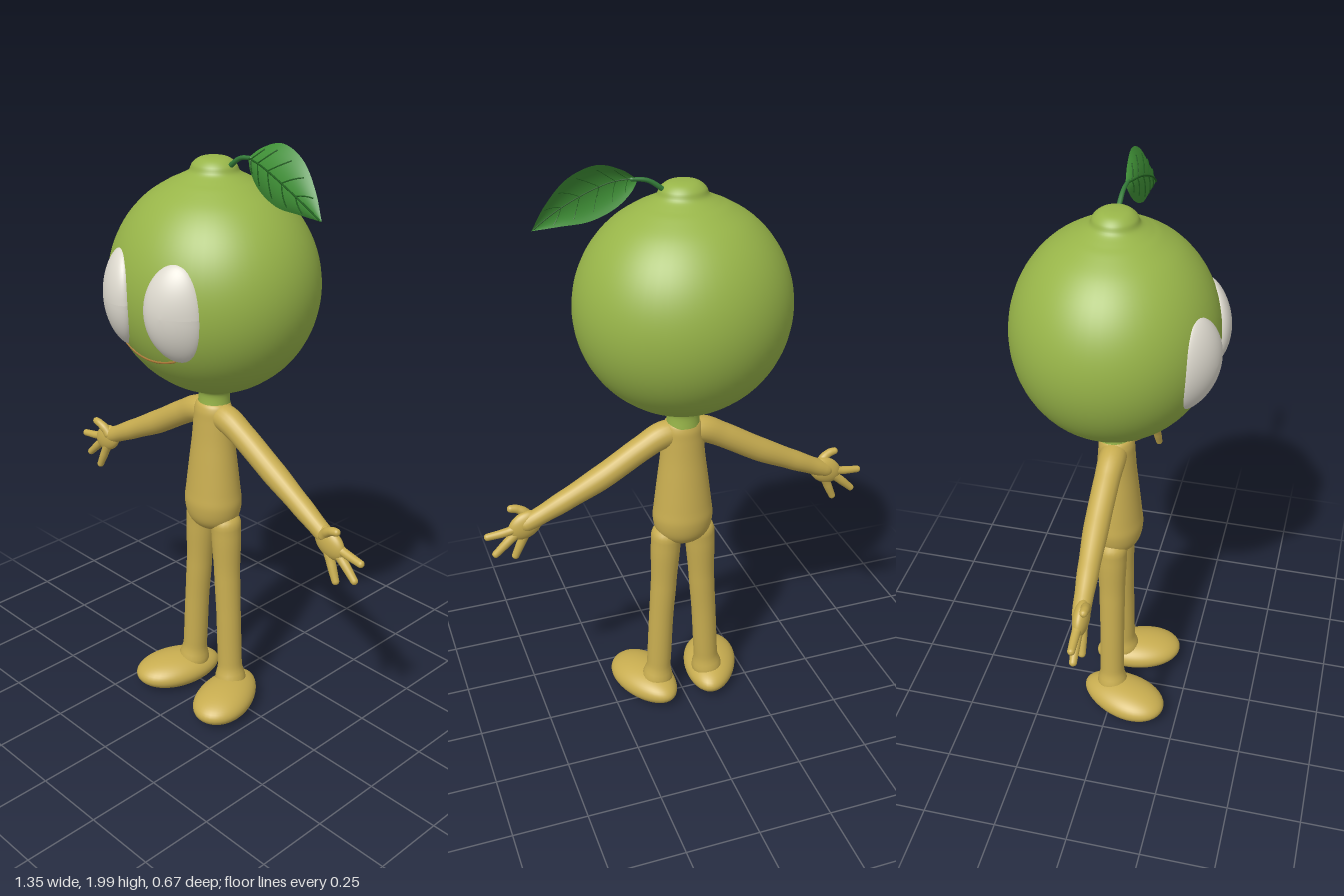
import * as THREE from 'three';
import { mergeVertices } from 'three/addons/utils/BufferGeometryUtils.js';

const paint = (name, color, side = THREE.FrontSide) => {
  const m = new THREE.MeshStandardMaterial({ color, side });
  m.name = name;
  return m;
};
const V = (x, y, z = 0) => new THREE.Vector3(x, y, z);

// Smooth normals without a seam
function smooth(g) {
  g.deleteAttribute('uv');
  g.deleteAttribute('normal');
  const out = mergeVertices(g, 1e-5);
  out.computeVertexNormals();
  return out;
}

// Round-ended limb through points [x, y, z, radius]
function limbGeometry(pts, steps = 48, sides = 20) {
  const curve = new THREE.CatmullRomCurve3(pts.map(p => V(p[0], p[1], p[2])));
  const length = curve.getLength();
  const g = new THREE.TubeGeometry(curve, steps, 1, sides);
  const pos = g.attributes.position, v = V(0, 0);
  for (let i = 0; i <= steps; i++) {
    const u = i / steps, c = curve.getPointAt(u);
    const t = curve.getUtoTmapping(u) * (pts.length - 1);
    const k = Math.min(Math.floor(t), pts.length - 2);
    let r = THREE.MathUtils.lerp(pts[k][3], pts[k + 1][3], THREE.MathUtils.smoothstep(t - k, 0, 1));
    const d = Math.min(u, 1 - u) * length;
    if (d < r) r *= Math.sqrt(Math.max(1 - (1 - d / r) ** 2, 1e-4));
    for (let j = 0; j <= sides; j++) {
      const n = i * (sides + 1) + j;
      v.fromBufferAttribute(pos, n).sub(c).multiplyScalar(r).add(c);
      pos.setXYZ(n, v.x, v.y, v.z);
    }
  }
  return smooth(g);
}

// Lathe through a smoothed profile, squashed in depth
function latheGeometry(profile, depth, z) {
  const curve = new THREE.SplineCurve(profile.map(p => new THREE.Vector2(p[0], p[1])));
  const pts = curve.getPoints(profile.length * 5);
  pts.forEach(p => { p.x = Math.max(p.x, 0); });
  return new THREE.LatheGeometry(pts, 56).scale(1, 1, depth).translate(0, 0, z);
}

// Indexed grid from a rule (u, v) -> point
function gridGeometry(nu, nv, rule) {
  const pos = [], idx = [];
  for (let i = 0; i <= nu; i++) for (let j = 0; j <= nv; j++) pos.push(...rule(i / nu, j / nv).toArray());
  for (let i = 0; i < nu; i++) for (let j = 0; j < nv; j++) {
    const a = i * (nv + 1) + j, b = a + nv + 1;
    idx.push(a, b, a + 1, b, b + 1, a + 1);
  }
  const g = new THREE.BufferGeometry();
  g.setAttribute('position', new THREE.Float32BufferAttribute(pos, 3));
  g.setIndex(idx);
  g.computeVertexNormals();
  return g;
}

// Front surface of the round head
const HEAD = { y: 1.53, rx: 0.345, ry: 0.35, depth: 0.94, z: -0.01 };
const headZ = (x, y) => HEAD.z + HEAD.depth * HEAD.rx *
  Math.sqrt(Math.max(0, 1 - (x / HEAD.rx) ** 2 - ((y - HEAD.y) / HEAD.ry) ** 2));

export function createModel() {
  const model = new THREE.Group();
  const lime = paint('lime peel', 0x98b549), tan = paint('tan body', 0xc8ad50);
  const white = paint('eye white', 0xdedacf), lip = paint('mouth line', 0xab7a38);
  const leafGreen = paint('leaf green', 0x3f9036, THREE.DoubleSide);
  const veinGreen = paint('vein green', 0x20601f), stemGreen = paint('stem green', 0x337a38);
  const add = (name, geometry, material, parent = model) => {
    const m = new THREE.Mesh(geometry, material);
    m.name = name;
    parent.add(m);
    return m;
  };

  // Head: flared neck, round fruit, knob on top
  const profile = [[0.055, 1.12], [0.054, 1.165], [0.075, 1.184], [0.13, 1.204]];
  for (let a = -58; a <= 64; a += 12.2) {
    const r = THREE.MathUtils.degToRad(a);
    profile.push([HEAD.rx * Math.cos(r), HEAD.y + HEAD.ry * Math.sin(r)]);
  }
  profile.push([0.115, 1.862], [0.082, 1.88], [0.07, 1.902], [0.05, 1.918], [0.025, 1.924], [0, 1.925]);
  add('head', latheGeometry(profile, HEAD.depth, HEAD.z), lime);

  // Bulging eyes that follow the head
  for (const s of [-1, 1]) {
    add(s > 0 ? 'leftEye' : 'rightEye', gridGeometry(14, 48, (u, v) => {
      const r = Math.sin(u * Math.PI / 2), a = v * Math.PI * 2;
      const x = s * 0.123 + 0.085 * r * Math.cos(a), y = 1.517 + 0.153 * r * Math.sin(a);
      return V(x, y, headZ(x, y) - 0.004 + 0.038 * Math.cos(u * Math.PI / 2));
    }), white);
  }

  // Smile
  const smile = [];
  for (let i = -6; i <= 6; i++) {
    const x = i * 0.019, y = 1.343 + 1.8 * x * x;
    smile.push(V(x, y, headZ(x, y)));
  }
  add('mouth', new THREE.TubeGeometry(new THREE.CatmullRomCurve3(smile), 32, 0.004, 6), lip);

  // Torso
  add('torso', latheGeometry([[0, 0.665], [0.055, 0.678], [0.09, 0.712], [0.103, 0.765], [0.098, 0.82],
    [0.086, 0.92], [0.076, 1.0], [0.07, 1.07], [0.066, 1.11], [0.05, 1.133], [0, 1.14]], 0.87, -0.006), tan);

  for (const s of [-1, 1]) {
    const side = s > 0 ? 'left' : 'right';
    const limb = (name, pts, parent) =>
      add(side + name, limbGeometry(pts.map(([x, y, z, r]) => [s * x, y, z, r])), tan, parent);

    // Arm and hand
    limb('Arm', [[0.0, 1.092, -0.005, 0.042], [0.07, 1.083, -0.005, 0.045], [0.14, 1.048, -0.006, 0.042],
      [0.27, 0.97, -0.006, 0.041], [0.4, 0.9, 0, 0.035], [0.49, 0.853, 0.006, 0.03], [0.56, 0.818, 0.01, 0.026]]);
    const hand = new THREE.Group();
    hand.name = side + 'Hand';
    model.add(hand);
    const palm = add(side + 'Palm', new THREE.SphereGeometry(1, 28, 20), tan, hand);
    palm.scale.set(0.062, 0.046, 0.026);
    palm.position.set(s * 0.537, 0.825, 0.012);
    palm.rotation.z = -s * 0.55;
    limb('Thumb', [[0.51, 0.835, 0.018, 0.02], [0.535, 0.866, 0.026, 0.016], [0.558, 0.88, 0.03, 0.014],
      [0.59, 0.886, 0.03, 0.012]], hand);
    limb('UpperFinger', [[0.55, 0.825, 0.01, 0.018], [0.6, 0.812, 0.01, 0.014], [0.675, 0.802, 0.014, 0.012]], hand);
    limb('MiddleFinger', [[0.55, 0.815, 0.01, 0.018], [0.595, 0.777, 0.01, 0.015], [0.65, 0.725, 0.012, 0.012]], hand);
    limb('LowerFinger', [[0.53, 0.81, 0.014, 0.018], [0.552, 0.76, 0.018, 0.015], [0.58, 0.697, 0.022, 0.012]], hand);

    // Leg
    limb('Leg', [[0.056, 0.745, -0.008, 0.056], [0.062, 0.66, -0.008, 0.051], [0.07, 0.5, -0.006, 0.045],
      [0.08, 0.35, -0.004, 0.043], [0.09, 0.15, -0.002, 0.043], [0.095, 0.09, 0.0, 0.055], [0.098, 0.03, 0.002, 0.05]]);

    // Foot: egg shape with a flat sole, narrower at the heel, toes turned out
    const foot = new THREE.SphereGeometry(1, 40, 28);
    const p = foot.attributes.position;
    for (let i = 0; i < p.count; i++) {
      const z = p.getZ(i), y = p.getY(i);
      p.setXYZ(i, p.getX(i) * 0.095 * (1 + 0.13 * z), Math.max(0.052 + y * 0.058, 0.003), z * 0.158);
    }
    const mesh = add(side + 'Foot', smooth(foot), tan);
    mesh.rotation.y = s * 0.32;
    mesh.position.set(s * 0.126, 0, 0.05);
  }

  // Leaf: surface between an upper and a lower edge, bowed to the front
  const edge = pts => new THREE.CatmullRomCurve3(pts.map(q => V(q[0], q[1])));
  const upper = edge([[0.14, 1.94], [0.19, 1.975], [0.265, 1.997], [0.35, 1.965], [0.415, 1.89], [0.456, 1.812]]);
  const lower = edge([[0.14, 1.94], [0.155, 1.905], [0.2, 1.858], [0.28, 1.822], [0.37, 1.816], [0.456, 1.812]]);
  const leafPoint = (u, v, lift = 0) => {
    const q = lower.getPoint(u).lerp(upper.getPoint(u), v);
    q.z = (1.9 - q.y) * 0.2 + 0.025 * Math.sin(Math.PI * u) * (1 - (2 * v - 1) ** 2) - 0.005 + lift;
    return q;
  };
  const leaf = new THREE.Group();
  leaf.name = 'leaf';
  model.add(leaf);
  add('leafBlade', gridGeometry(32, 14, leafPoint), leafGreen, leaf);

  // Leaf veins
  const vein = (name, fn, r) => {
    const pts = Array.from({ length: 9 }, (_, i) => fn(i / 8));
    add(name, new THREE.TubeGeometry(new THREE.CatmullRomCurve3(pts), 16, r, 5), veinGreen, leaf);
  };
  vein('midrib', t => leafPoint(t * 0.98, 0.5, 0.002), 0.003);
  for (let i = 0; i < 5; i++) for (const s of [-1, 1]) {
    const u = 0.16 + i * 0.14;
    vein('sideVein', t => leafPoint(u + 0.11 * t, 0.5 + s * 0.38 * t, 0.0015), 0.002);
  }

  // Stem
  add('stem', limbGeometry([[0.045, 1.885, -0.015, 0.008], [0.075, 1.912, -0.014, 0.008],
    [0.11, 1.934, -0.012, 0.007], [0.165, 1.942, -0.008, 0.006]], 24, 10), stemGreen);

  return model;
}
